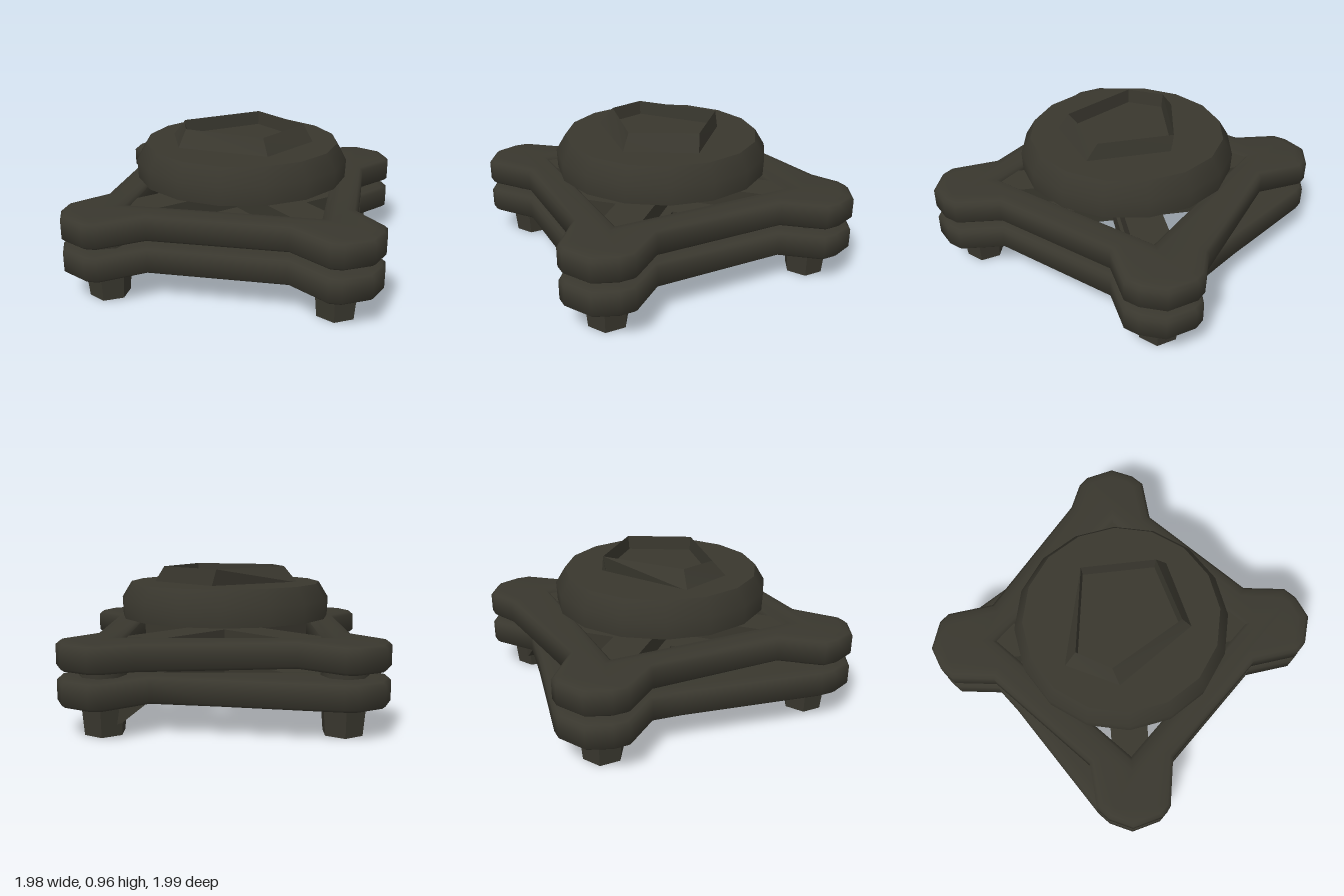
import * as THREE from 'three';
import { toCreasedNormals } from 'three/addons/utils/BufferGeometryUtils.js';
import { ConvexGeometry } from 'three/addons/geometries/ConvexGeometry.js';

const darkMetal = new THREE.MeshStandardMaterial({ color: 0x39372e });
darkMetal.name = 'darkMetal';

function part(name, geometry, crease = 1.0) {
  const mesh = new THREE.Mesh(toCreasedNormals(geometry, crease), darkMetal);
  mesh.name = name;
  return mesh;
}

// Outline of one rounded corner, from the side beam to the front beam (x, z)
const CORNER = [[0.81, 0.43], [0.99, 0.65], [0.99, 0.75], [0.93, 0.9], [0.76, 0.995], [0.68, 0.995], [0.43, 0.81]];

// Square frame with swollen corners; skew replaces single corner points, keyed "corner,point"
function frameGeometry(skew) {
  const outline = [];
  [[1, 1], [-1, 1], [-1, -1], [1, -1]].forEach(([sx, sz], c) => {
    const pts = CORNER.map(([x, z], i) => skew[`${c},${i}`] || [x * sx, z * sz]);
    if (sx * sz < 0) pts.reverse();
    outline.push(...pts.map(([x, z]) => new THREE.Vector2(x, -z)));
  });
  const h = 0.605;
  const shape = new THREE.Shape(outline);
  // the opening winds against the outline so its walls face inward
  shape.holes.push(new THREE.Path([[-h, -h], [h, -h], [h, h], [-h, h]].map(([x, y]) => new THREE.Vector2(x, y))));
  const geo = new THREE.ExtrudeGeometry(shape, {
    depth: 0.12, bevelEnabled: true, bevelThickness: 0.025, bevelSize: 0.07, bevelOffset: -0.07, bevelSegments: 2,
  });
  return geo.rotateX(-Math.PI / 2);
}

// Skin over a stack of loops with equal point counts
function loft(loops) {
  const pos = [];
  for (let k = 0; k < loops.length - 1; k++) {
    const lo = loops[k], hi = loops[k + 1], n = lo.length;
    for (let i = 0; i < n; i++) {
      const j = (i + 1) % n;
      pos.push(...lo[i], ...hi[i], ...hi[j], ...lo[i], ...hi[j], ...lo[j]);
    }
  }
  const geo = new THREE.BufferGeometry();
  geo.setAttribute('position', new THREE.Float32BufferAttribute(pos, 3));
  return geo;
}

export function createModel() {
  const model = new THREE.Group();
  model.name = 'platform';

  // Two stacked frames, each with a diagonal cross brace
  const frames = [
    ['lowerFrame', 0.212, { '1,0': [-0.83, -0.25], '2,6': [0.05, -0.865] }],
    ['upperFrame', 0.425, { '3,6': [0.5, -0.915] }],
  ];
  for (const [name, y, skew] of frames) {
    const group = new THREE.Group();
    group.name = name;
    const ring = part('frameRing', frameGeometry(skew), 1.2);
    ring.position.y = y;
    group.add(ring);
    for (const side of [-1, 1]) {
      const brace = part('crossBrace', new THREE.BoxGeometry(1.8, 0.12, 0.24));
      brace.rotation.y = side * Math.PI / 4;
      brace.position.y = y + 0.06;
      group.add(brace);
    }
    model.add(group);
  }

  // Tapered feet and the spacers between the frames
  for (const sx of [-1, 1]) {
    for (const sz of [-1, 1]) {
      const foot = part('foot', new THREE.CylinderGeometry(0.15, 0.128, 0.24, 6));
      foot.position.set(sx * 0.715, 0.12, sz * 0.715);
      const spacer = part('spacer', new THREE.CylinderGeometry(0.145, 0.145, 0.14, 8));
      spacer.position.set(sx * 0.72, 0.38, sz * 0.72);
      model.add(foot, spacer);
    }
  }

  // Sloping gusset beside one rear foot
  const gusset = [];
  for (const z of [-0.8, -0.64]) {
    for (const [x, y] of [[0.45, 0.2], [0.75, 0.2], [0.75, 0.03], [0.6, 0.08]]) gusset.push(new THREE.Vector3(x, y, z));
  }
  model.add(part('footGusset', new ConvexGeometry(gusset)));

  // Low turntable disc with a chamfered rim
  const profile = [[0, 0.63], [0.7, 0.63], [0.705, 0.75], [0.64, 0.856], [0, 0.856]];
  model.add(part('disc', new THREE.LatheGeometry(profile.map(([r, y]) => new THREE.Vector2(r, y)), 16)));

  // Uneven five-sided tray on the disc, with a sharp rim and a sunken floor
  const rim = [[0.05, -0.39], [0.41, -0.06], [0.2, 0.33], [-0.33, 0.21], [-0.4, -0.03]];
  const base = [[0.08, -0.39], [0.48, -0.02], [0.24, 0.39], [-0.36, 0.3], [-0.49, -0.05]];
  const ringAt = (pts, y, scale = 1) => pts.map(([x, z]) => [x * scale, y, z * scale]);
  const tray = loft([ringAt(base, 0.85), ringAt(rim, 0.96), ringAt(rim, 0.868, 0.97), ringAt(rim, 0.868, 0)]);
  model.add(part('tray', tray, 0.6));

  return model;
}
